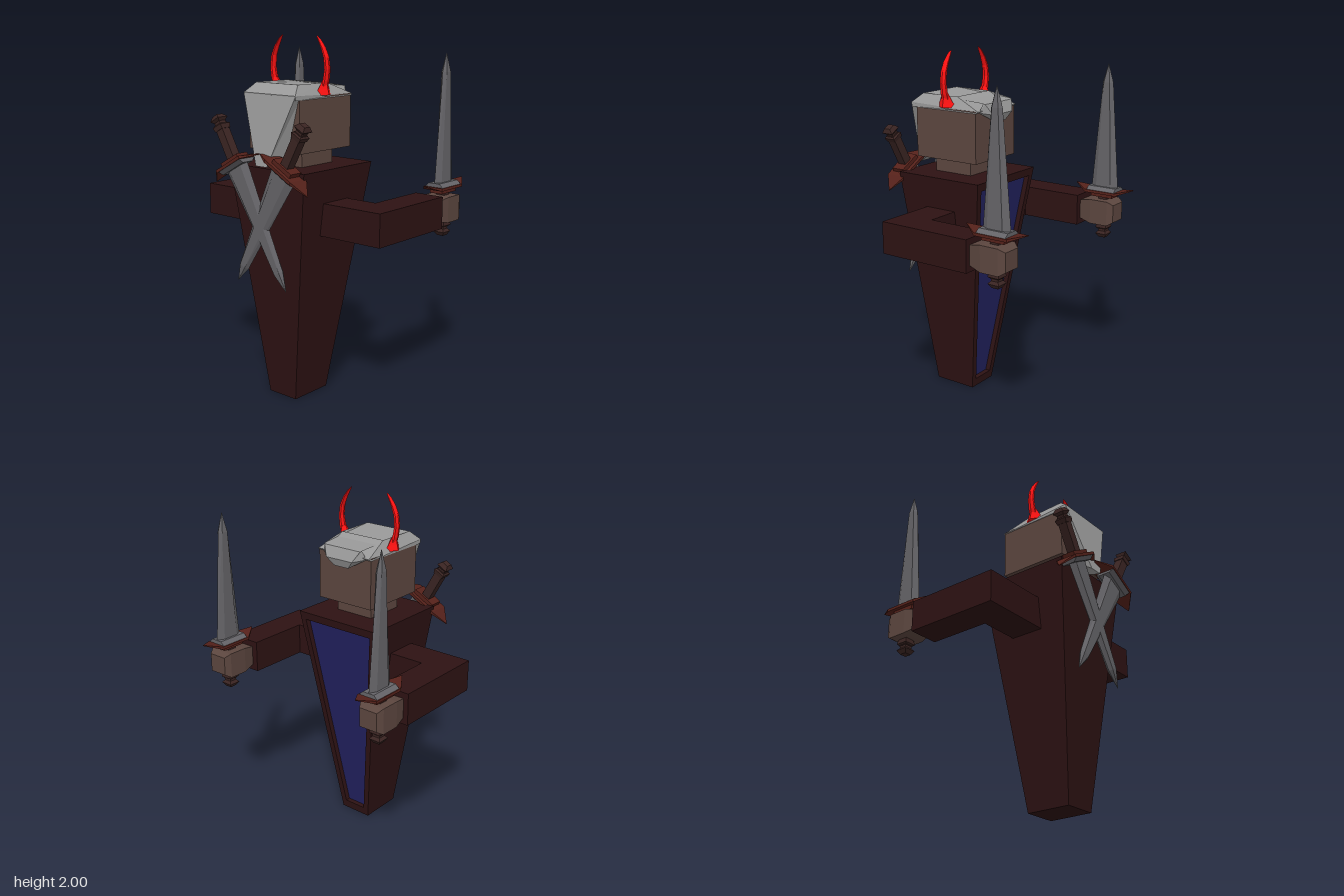
import * as THREE from 'three';

const mat = (color) => new THREE.MeshStandardMaterial({ color, flatShading: true, roughness: 0.8 });
const M = {
  cloth: mat(0x2d1213), skin: mat(0x5c463f), mask: mat(0x999999), steel: mat(0x656468),
  guard: mat(0x55211a), grip: mat(0x3a2422), lining: mat(0x232260), horn: mat(0xff1212),
};

// Joins rings of equally many points into a faceted surface, with optional end caps
function loft(name, material, rings, capStart = true, capEnd = true) {
  const pos = [];
  const tri = (a, b, c) => pos.push(...a, ...b, ...c);
  const n = rings[0].length;
  for (let r = 0; r + 1 < rings.length; r++) {
    for (let i = 0; i < n; i++) {
      const j = (i + 1) % n, a = rings[r], b = rings[r + 1];
      tri(a[i], a[j], b[j]);
      tri(a[i], b[j], b[i]);
    }
  }
  const first = rings[0], last = rings[rings.length - 1];
  for (let i = 1; i + 1 < n; i++) {
    if (capStart) tri(first[0], first[i + 1], first[i]);
    if (capEnd) tri(last[0], last[i], last[i + 1]);
  }
  const g = new THREE.BufferGeometry();
  g.setAttribute('position', new THREE.Float32BufferAttribute(pos, 3));
  g.computeVertexNormals();
  const mesh = new THREE.Mesh(g, material);
  mesh.name = name;
  return mesh;
}

// Rectangular ring for lofts that run along +z
const ringZ = (z, w, lo, hi) => [[w, lo, z], [w, hi, z], [-w, hi, z], [-w, lo, z]];
// Ring for lofts that run along +y; front and back edges may differ
const ringY = (wf, yf, zf, wb, yb, zb) => [[wf, yf, zf], [wb, yb, zb], [-wb, yb, zb], [-wf, yf, zf]];
// Elliptical ring for lofts that run along +y
const ellipse = (cx, y, rx, rz, n = 6) => Array.from({ length: n }, (_, i) => {
  const a = (i / n) * Math.PI * 2;
  return [cx + rx * Math.cos(a), y, -rz * Math.sin(a)];
});

function box(name, material, w, h, d, x, y, z) {
  const m = new THREE.Mesh(new THREE.BoxGeometry(w, h, d), material);
  m.name = name;
  m.position.set(x, y, z);
  return m;
}

// Sword with its guard at the origin, point up, edges facing +z and -z
function makeSword(name) {
  const s = new THREE.Group();
  s.name = name;
  const bladeRing = (y, t, w) => [
    [t, y, w * 0.55], [t, y, -w * 0.55], [0, y, -w],
    [-t, y, -w * 0.55], [-t, y, w * 0.55], [0, y, w],
  ];
  s.add(loft('blade', M.steel, [
    bladeRing(0, 0.022, 0.088), bladeRing(0.635, 0.018, 0.034), bladeRing(0.74, 0.001, 0.001),
  ]));
  // Crossguard with raised pointed ends
  s.add(loft('crossguard', M.guard, [
    ringZ(-0.19, 0.002, 0.022, 0.026), ringZ(-0.1, 0.062, -0.012, 0.004),
    ringZ(0.1, 0.062, -0.012, 0.004), ringZ(0.19, 0.002, 0.022, 0.026),
  ]));
  s.add(loft('collar', M.steel, [
    ringY(0.06, 0.002, 0.09, 0.06, 0.002, -0.09), ringY(0.035, 0.025, 0.09, 0.035, 0.025, -0.09),
  ]));
  s.add(box('guardBlock', M.guard, 0.08, 0.03, 0.14, 0, -0.02, 0));
  s.add(box('grip', M.grip, 0.052, 0.22, 0.052, 0, -0.125, 0));
  // Stepped pommel
  const sq = (y, w) => ringY(w, y, w, w, y, -w);
  s.add(loft('pommel', M.grip, [
    sq(-0.285, 0.02), sq(-0.262, 0.035), sq(-0.247, 0.022), sq(-0.235, 0.022), sq(-0.225, 0.035), sq(-0.2, 0.03),
  ]));
  return s;
}

function makeBody() {
  const body = new THREE.Group();
  body.name = 'body';
  body.position.x = 0.0075;
  const H = 1.315;
  const half = (y) => 0.0975 + 0.175 * (y / H);
  const backZ = (y) => 0.11 - 0.18 * (y / H);
  // Four corners between a low and a high level, inset from the sides
  const ring = (y0, y1, inset, z0, z1) => [
    [half(y0) - inset, y0, z0], [half(y1) - inset, y1, z1],
    [-half(y1) + inset, y1, z1], [-half(y0) + inset, y0, z0],
  ];
  const lo = 0.05, hi = H - 0.045, inset = 0.035, depth = 0.03;
  const recess = ring(lo, hi, inset, backZ(lo) + depth, backZ(hi) + depth);
  body.add(loft('robe', M.cloth, [
    recess, ring(lo, hi, inset, backZ(lo), backZ(hi)),
    ring(0, H, 0, backZ(0), backZ(H)), ring(0, H, 0, 0.37, 0.485),
  ], false, true));
  body.add(loft('backPanel', M.lining, [recess], true, false));
  return body;
}

function makeHead() {
  const head = new THREE.Group();
  head.name = 'head';
  head.position.x = 0.01;
  head.add(box('neck', M.skin, 0.24, 0.12, 0.245, 0, 1.36, 0.213));
  head.add(box('skull', M.skin, 0.364, 0.29, 0.412, 0, 1.545, 0.214));
  // Mask: bevelled cap, back flap and tapering face plate
  head.add(loft('maskCap', M.mask, [
    ringY(0.186, 1.68, 0.452, 0.186, 1.68, 0.005),
    ringY(0.186, 1.705, 0.455, 0.178, 1.69, -0.005),
    ringY(0.15, 1.757, 0.395, 0.145, 1.755, 0.16),
    ringY(0.15, 1.757, 0.39, 0.13, 1.728, -0.01),
  ]));
  head.add(loft('maskBackFlap', M.mask, [
    ringY(0.05, 1.625, -0.015, 0.05, 1.62, -0.025),
    ringY(0.15, 1.68, 0.01, 0.09, 1.665, -0.043),
    ringY(0.13, 1.728, -0.005, 0.125, 1.725, -0.015),
  ]));
  head.add(loft('maskFace', M.mask, [
    ringY(0.04, 1.33, 0.52, 0.1, 1.39, 0.41),
    ringY(0.186, 1.7, 0.455, 0.186, 1.7, 0.41),
  ]));
  // Curved horns on flared roots
  for (const s of [-1, 1]) {
    const horn = new THREE.Group();
    horn.name = s > 0 ? 'leftHorn' : 'rightHorn';
    horn.position.z = 0.216;
    horn.add(loft('hornRoot', M.horn, [
      ellipse(s * 0.163, 1.695, 0.045, 0.07, 4), ellipse(s * 0.17, 1.725, 0.03, 0.045, 4),
      ellipse(s * 0.178, 1.772, 0.012, 0.02, 4),
    ]));
    const path = [[0.165, 1.71, 0.018, 0.026], [0.187, 1.77, 0.014, 0.023], [0.196, 1.83, 0.012, 0.021],
      [0.189, 1.89, 0.011, 0.02], [0.168, 1.94, 0.009, 0.018], [0.142, 1.98, 0.005, 0.013], [0.125, 2.0, 0.001, 0.005]];
    horn.add(loft('hornCurve', M.horn, path.map(([x, y, rx, rz]) => ellipse(s * x, y, rx, rz))));
    head.add(horn);
  }
  return head;
}

function makeArm(s) {
  const arm = new THREE.Group();
  arm.name = s > 0 ? 'leftArm' : 'rightArm';
  // L-shaped sleeve, drawn from above and extruded upwards
  const pts = [[0.1, 0.305], [0.632, 0.305], [0.632, -0.258], [0.452, -0.258], [0.452, 0.11], [0.1, 0.11]];
  const shape = new THREE.Shape(pts.map(([x, z]) => new THREE.Vector2(s * x, -z)));
  const geo = new THREE.ExtrudeGeometry(shape, { depth: 0.18, bevelEnabled: false });
  geo.rotateX(-Math.PI / 2);
  const sleeve = new THREE.Mesh(geo, M.cloth);
  sleeve.name = 'sleeve';
  sleeve.position.y = 0.952;
  arm.add(sleeve);
  const hand = loft('hand', M.skin, [
    ringZ(-0.478, 0.055, 0.99, 1.095), ringZ(-0.445, 0.074, 0.97, 1.115),
    ringZ(-0.335, 0.074, 0.97, 1.115), ringZ(-0.245, 0.055, 0.99, 1.095),
  ]);
  hand.position.x = s * 0.545;
  arm.add(hand);
  const sword = makeSword('heldSword');
  sword.position.set(s * 0.545, 1.165, -0.388);
  arm.add(sword);
  return arm;
}

export function createModel() {
  const model = new THREE.Group();
  model.name = 'swordsman';
  model.add(makeBody(), makeHead());
  for (const s of [-1, 1]) {
    model.add(makeArm(s));
    // Crossed swords on the chest, points down
    const sword = makeSword('chestSword');
    sword.position.set(s * 0.18, 1.325, 0.519);
    sword.rotation.set(0, Math.PI / 2, -s * (Math.PI + 0.507), 'ZYX');
    model.add(sword);
  }
  return model;
}
